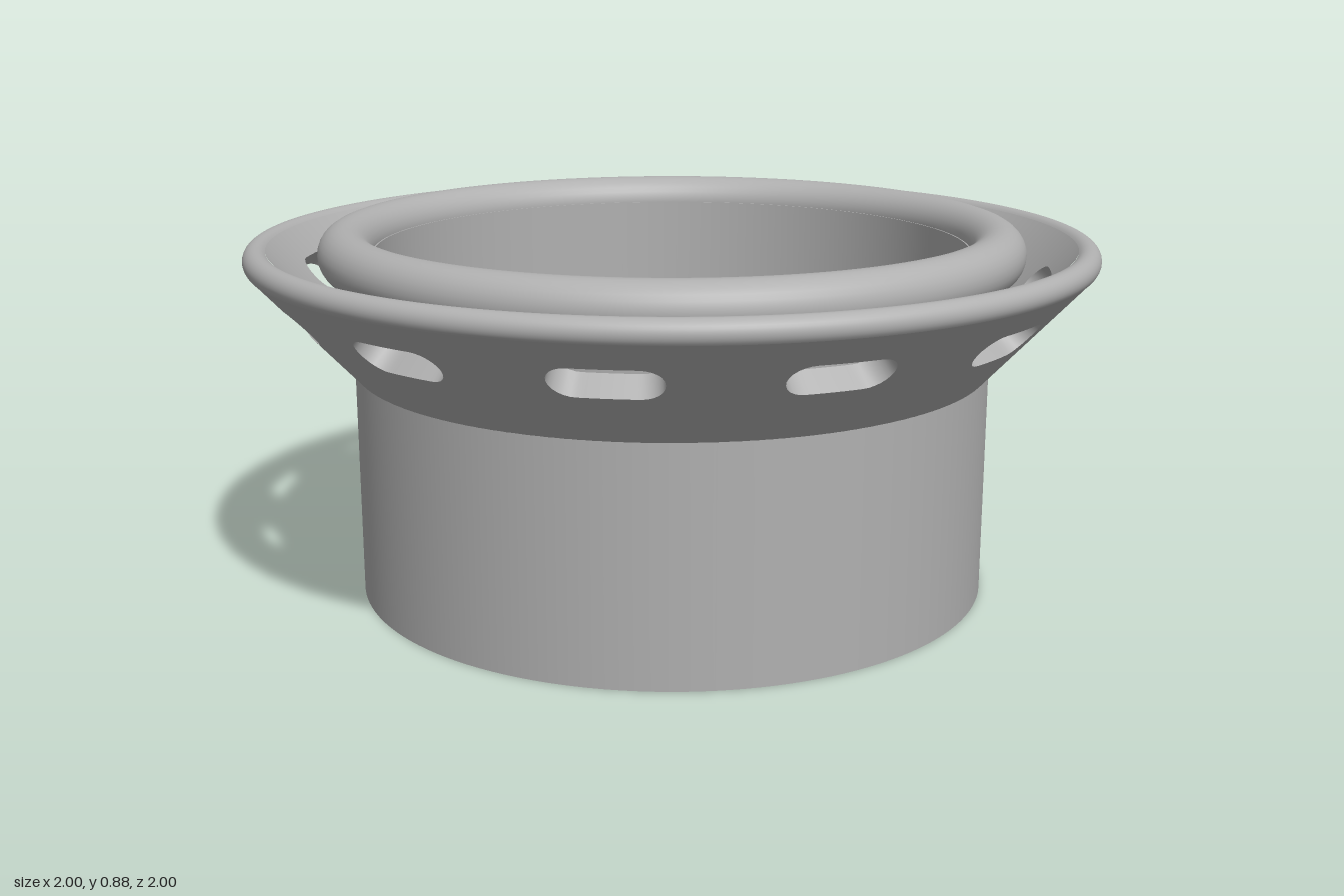
import * as THREE from 'three';

const CELLS = 12;                     // slots around the flange
const THICK = 0.06;                   // flange wall thickness
const LOOP = 48;                      // points around each slot
const CENTRE = [0.9, 0.696];          // slot centre on the outer cone (radius, height)
const DIR = [0.678, 0.735];           // up the cone slope
const NORMAL = [0.735, -0.678];       // out of the cone

// Quad grid whose columns close into a loop; at(i, j) returns a Vector3
function loopGrid(rows, at, flip, normalAt) {
  const pos = [], nor = [], idx = [];
  for (let i = 0; i <= rows; i++) {
    for (let j = 0; j < LOOP; j++) {
      pos.push(...at(i, j));
      if (normalAt) nor.push(...normalAt(i, j));
      if (i === rows) continue;
      const k = (j + 1) % LOOP;
      const a = i * LOOP + j, b = a + LOOP, c = (i + 1) * LOOP + k, d = i * LOOP + k;
      if (flip) idx.push(a, c, b, a, d, c);
      else idx.push(a, b, c, a, c, d);
    }
  }
  const g = new THREE.BufferGeometry();
  g.setAttribute('position', new THREE.Float32BufferAttribute(pos, 3));
  g.setIndex(idx);
  if (normalAt) g.setAttribute('normal', new THREE.Float32BufferAttribute(nor, 3));
  else g.computeVertexNormals();
  return g;
}

// Point on the cone wall: angle, distance up the slope, depth below the outer face
function conePoint(angle, s, depth) {
  const r = CENTRE[0] + DIR[0] * s - NORMAL[0] * depth;
  const y = CENTRE[1] + DIR[1] * s - NORMAL[1] * depth;
  return new THREE.Vector3(r * Math.sin(angle), y, r * Math.cos(angle));
}

// Direction j of the loop projected on a unit square
function square(j) {
  const p = (j / LOOP) * Math.PI * 2, c = Math.cos(p), s = Math.sin(p);
  const m = Math.max(Math.abs(c), Math.abs(s));
  return [c / m, s / m, p, Math.abs(c) >= Math.abs(s) - 1e-9];
}

// Stadium slot outline as [angle, slope]
function slot(j) {
  const half = 0.065, R = 0.051;
  const [x, y, p, side] = square(j);
  if (!side) return [half * x / 0.88, R * Math.sign(y)];
  const sign = Math.sign(x), q = sign > 0 ? p : p - Math.PI;
  return [sign * (half + R * Math.cos(2 * q)) / 0.88, sign * R * Math.sin(2 * q)];
}

// One face of a flange cell, from the slot edge out to the cell border
function cellFace(depth, low, high, inward) {
  const rows = 4;
  const coord = (i, j) => {
    const [a, s] = slot(j), [x, y] = square(j), f = i / rows;
    const edge = (low + high) / 2 + y * (high - low) / 2;
    return [a + (x * Math.PI / CELLS - a) * f, s + (edge - s) * f];
  };
  const sign = inward ? -1 : 1;
  return loopGrid(rows, (i, j) => conePoint(...coord(i, j), depth), inward, (i, j) => {
    const a = coord(i, j)[0];
    return [sign * NORMAL[0] * Math.sin(a), sign * NORMAL[1], sign * NORMAL[0] * Math.cos(a)];
  });
}

export function createModel() {
  const model = new THREE.Group();
  const grey = new THREE.MeshStandardMaterial({ color: 0xb0b0b0 });
  grey.name = 'plain grey';

  const add = (name, geometry, parent = model) => {
    const mesh = new THREE.Mesh(geometry, grey);
    mesh.name = name;
    parent.add(mesh);
    return mesh;
  };
  const lathe = (points) =>
    new THREE.LatheGeometry(points.map(([r, y]) => new THREE.Vector2(r, y)), 144);

  // Straight pipe, with separate surfaces so that its edges stay sharp
  const inner = 0.703, outer = 0.757, top = 0.817;
  const pipe = new THREE.Group();
  pipe.name = 'pipe';
  model.add(pipe);
  add('pipeOuterWall', lathe([[outer, 0], [outer, top]]), pipe);
  add('pipeInnerWall', lathe([[inner, top], [inner, 0]]), pipe);
  add('pipeBottomEdge', lathe([[inner, 0], [outer, 0]]), pipe);
  add('pipeTopEdge', lathe([[outer, top], [inner, top]]), pipe);

  // Rounded lip around the mouth of the pipe
  const lip = add('mouthLip', new THREE.TorusGeometry(0.769, 0.063, 28, 144));
  lip.rotation.x = Math.PI / 2;
  lip.position.y = top;

  // Rounded rim of the flange
  const rim = [];
  for (let i = 0; i <= 16; i++) {
    const a = Math.atan2(NORMAL[1], NORMAL[0]) + (i / 16) * Math.PI;
    rim.push([0.97 + 0.03 * Math.cos(a), 0.815 + 0.03 * Math.sin(a)]);
  }
  add('flangeRim', lathe(rim));

  // Conical flange: one slotted cell repeated all round
  const outerFace = cellFace(0, -0.212, 0.136, false);
  const innerFace = cellFace(THICK, -0.15, 0.136, true);
  const slotWall = loopGrid(1, (i, j) => conePoint(...slot(j), THICK * (1 - i)), false);
  for (let k = 0; k < CELLS; k++) {
    const cell = new THREE.Group();
    cell.name = 'flangeCell' + (k + 1);
    cell.rotation.y = ((k + 0.5) / CELLS) * Math.PI * 2;
    add('flangeOuterFace', outerFace, cell);
    add('flangeInnerFace', innerFace, cell);
    add('slotWall', slotWall, cell);
    model.add(cell);
  }
  return model;
}
